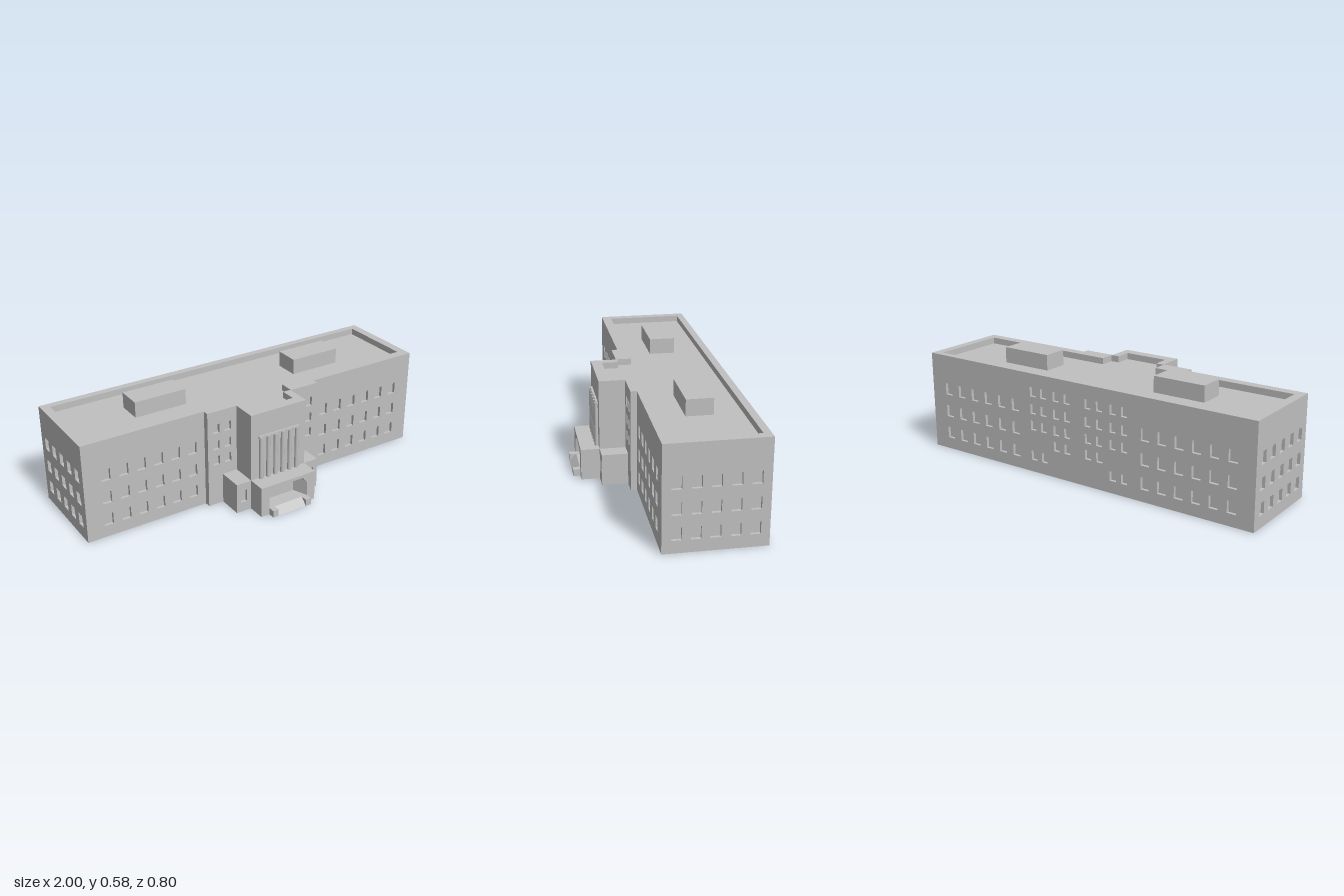
import * as THREE from 'three';

const stone = new THREE.MeshStandardMaterial({ color: 0xc0c0c0, side: THREE.DoubleSide });
stone.name = 'stone grey';

const H = 0.534, ROOF = 0.5, LOW = 0.166, STEP = 0.037, RECESS = 0.016;

export function createModel() {
  const model = new THREE.Group();
  model.name = 'building';

  function add(geometry, name, parent = model) {
    const mesh = new THREE.Mesh(geometry, stone);
    mesh.name = name;
    parent.add(mesh);
    return mesh;
  }
  const box = (x0, x1, y0, y1, z0, z1, name) =>
    add(new THREE.BoxGeometry(x1 - x0, y1 - y0, z1 - z0), name)
      .position.set((x0 + x1) / 2, (y0 + y1) / 2, (z0 + z1) / 2);
  const path = (pts, Type = THREE.Shape) => new Type(pts.map(p => new THREE.Vector2(...p)));
  const rect = (x0, x1, y0, y1) => [[x0, y0], [x1, y0], [x1, y1], [x0, y1]];

  // Wall skin between two plan points, with recessed window boxes.
  // Windows are [position along the world axis, centre y, width, height].
  function wall([x0, z0], [x1, z1], y0, y1, name, windows = []) {
    const group = new THREE.Group();
    group.name = name;
    group.position.set(x0, 0, z0);
    group.rotation.y = Math.atan2(z0 - z1, x1 - x0);
    model.add(group);
    const shape = path(rect(0, Math.hypot(x1 - x0, z1 - z0), y0, y1));
    const start = Math.abs(x1 - x0) > Math.abs(z1 - z0) ? x0 : z0;
    for (const [c, y, w, h] of windows) {
      const u = Math.abs(c - start);
      shape.holes.push(path(rect(u - w / 2, u + w / 2, y - h / 2, y + h / 2), THREE.Path));
      const recess = new THREE.BoxGeometry(w, h, RECESS);
      // drop the outer face so the box is open to the outside
      const index = Array.from(recess.index.array);
      index.splice(24, 6);
      recess.setIndex(index);
      recess.clearGroups();
      add(recess, 'window', group).position.set(u, y, -RECESS / 2);
    }
    add(new THREE.ShapeGeometry(shape), 'wallSkin', group);
  }

  // Horizontal plate from a plan outline [x, z]
  function plate(outline, y, name, hole) {
    const shape = path(outline.map(([x, z]) => [x, -z]));
    if (hole) shape.holes.push(path(hole.map(([x, z]) => [x, -z]), THREE.Path));
    const mesh = add(new THREE.ShapeGeometry(shape), name);
    mesh.rotation.x = -Math.PI / 2;
    mesh.position.y = y;
  }

  // Window layouts
  const grid = (cols, rows, w, h) => cols.flatMap(c => rows.map(y => [c, y, w, h]));
  const rows = [0.095, 0.219, 0.345];
  const smallRows = [0.255, 0.343, 0.436];
  const wingCols = [0.406, 0.501, 0.596, 0.691, 0.786, 0.882];
  const mirror = cols => cols.map(c => -c);
  const wing = cols => grid(cols, rows, 0.048, 0.063);
  const small = (cols, r = smallRows) => grid(cols, r, 0.037, 0.05);
  const outer = [0.217, 0.285], inner = [0.065, 0.135];
  const ends = wing([0.03, -0.06, -0.15, -0.242, -0.333]);
  const back = [
    ...wing(wingCols), ...wing(mirror(wingCols)),
    ...small([...outer, ...mirror(outer)], [0.09, ...smallRows]),
    ...small([...inner, ...mirror(inner)], [0.17, ...smallRows]),
  ];

  // Main outline: wings, stepped link and projecting centre
  const outline = [
    [-1, 0.098], [-0.335, 0.098], [-0.335, 0.13], [-0.165, 0.13], [-0.165, 0.265],
    [0.165, 0.265], [0.165, 0.13], [0.335, 0.13], [0.335, 0.098], [1, 0.098],
    [1, -0.4], [-1, -0.4],
  ];
  const windowsBySide = {
    0: wing(mirror(wingCols)), 2: small(mirror(outer)), 6: small(outer),
    8: wing(wingCols), 9: ends, 10: back, 11: ends,
  };
  outline.forEach((p, i) =>
    wall(p, outline[(i + 1) % outline.length], 0, H, 'mainWall', windowsBySide[i]));

  // Sunken roof with parapet
  const inset = [
    [-0.953, 0.047], [-0.168, 0.047], [-0.168, 0.125], [-0.122, 0.125], [-0.122, 0.21],
    [0.122, 0.21], [0.122, 0.125], [0.168, 0.125], [0.168, 0.047], [0.953, 0.047],
    [0.953, -0.362], [-0.953, -0.362],
  ];
  plate(outline, H, 'parapetTop', inset);
  plate(inset, ROOF, 'roof');
  inset.forEach((p, i) =>
    wall(inset[(i + 1) % inset.length], p, ROOF, H, 'parapetInside'));

  // Rooftop plant rooms
  for (const s of [-1, 1])
    box(s * 0.477 - 0.143, s * 0.477 + 0.143, ROOF, 0.584, -0.22, -0.085, 'rooftopBox');

  // Low side blocks beside the entrance
  for (const s of [-1, 1]) {
    const [a, b] = s < 0 ? [-0.25, -0.165] : [0.165, 0.25];
    wall([a, 0.265], [b, 0.265], 0, LOW, 'sideBlockFront', [[s * 0.208, 0.088, 0.037, 0.068]]);
    if (s < 0) wall([a, 0.13], [a, 0.265], 0, LOW, 'sideBlockSide');
    else wall([b, 0.265], [b, 0.13], 0, LOW, 'sideBlockSide');
    plate([[a, 0.265], [b, 0.265], [b, 0.13], [a, 0.13]], LOW, 'sideBlockRoof');
  }

  // Entrance porch with chamfered opening
  const P = 0.165, zF = 0.363, zB = 0.283;
  const opening = w => [
    [-w, STEP], [w, STEP], [w, 0.112], [w - 0.03, 0.149], [-w + 0.03, 0.149], [-w, 0.112],
  ];
  const front = path(rect(-P, P, 0, LOW));
  front.holes.push(path(opening(0.117), THREE.Path));
  add(new THREE.ShapeGeometry(front), 'porchFront').position.z = zF;
  wall([-P, 0.265], [-P, zF], 0, LOW, 'porchSide');
  wall([P, zF], [P, 0.265], 0, LOW, 'porchSide');
  plate([[-P, zF], [P, zF], [P, 0.265], [-P, 0.265]], LOW, 'porchRoof');

  // Splayed porch interior, lofted from the opening to the back panel
  const near = opening(0.117), far = opening(0.085);
  far[3][0] = 0.084; far[4][0] = -0.084; far[2][1] = far[5][1] = 0.148;
  const pos = [];
  near.forEach((p, i) => {
    const j = (i + 1) % near.length;
    const a = [...p, zF], b = [...near[j], zF], c = [...far[j], zB], d = [...far[i], zB];
    pos.push(...a, ...d, ...c, ...a, ...c, ...b);
  });
  const loft = new THREE.BufferGeometry();
  loft.setAttribute('position', new THREE.Float32BufferAttribute(pos, 3));
  loft.computeVertexNormals();
  add(loft, 'porchInterior');
  add(new THREE.ShapeGeometry(path(far)), 'porchBackPanel').position.z = zB;

  // Entrance ramp between two low cheek walls
  for (const s of [-1, 1])
    box(s * 0.101 - 0.016, s * 0.101 + 0.016, 0, STEP, zF, 0.4, 'stairCheek');
  const ramp = new THREE.PlaneGeometry(0.17, Math.hypot(STEP, 0.037));
  ramp.rotateX(-Math.PI / 4);
  add(ramp, 'entranceRamp').position.set(0, STEP / 2, (zF + 0.4) / 2);

  // Row of columns under a thin lintel above the porch
  for (let i = 0; i < 6; i++)
    add(new THREE.CylinderGeometry(0.011, 0.011, 0.236, 12), 'column')
      .position.set(-0.109 + i * 0.0436, LOW + 0.118, 0.273);
  box(-0.122, 0.122, 0.396, 0.408, 0.262, 0.276, 'columnLintel');

  return model;
}
